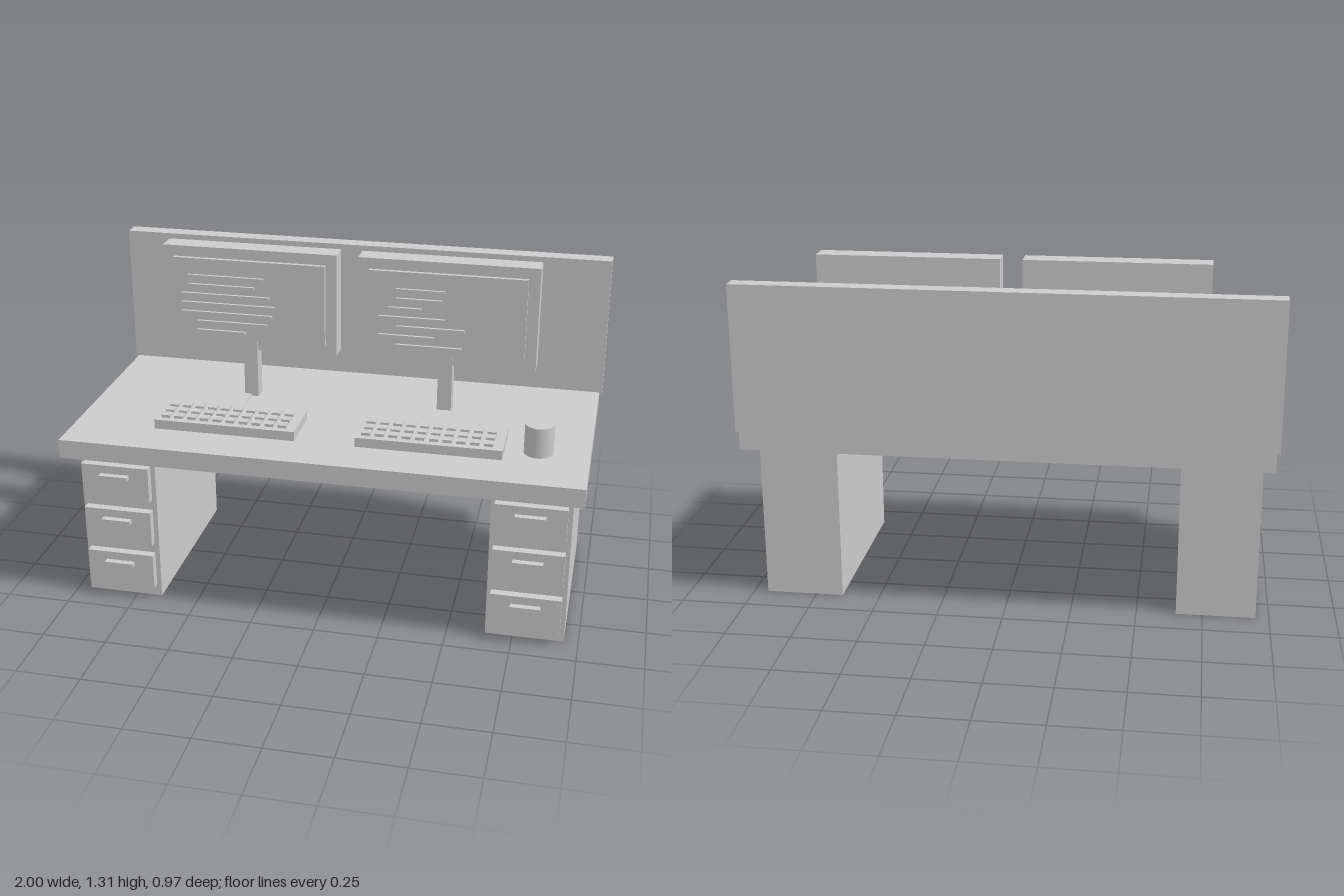
import * as THREE from 'three';

const material = new THREE.MeshStandardMaterial({ color: 0xcccccc });

// Box given by its min and max on each axis
function box(parent, name, [x0, x1], [y0, y1], [z0, z1]) {
  const mesh = new THREE.Mesh(new THREE.BoxGeometry(x1 - x0, y1 - y0, z1 - z0), material);
  mesh.position.set((x0 + x1) / 2, (y0 + y1) / 2, (z0 + z1) / 2);
  mesh.name = name;
  parent.add(mesh);
  return mesh;
}

function group(parent, name) {
  const g = new THREE.Group();
  g.name = name;
  parent.add(g);
  return g;
}

// Drawer pedestal centred on x = cx
function addPedestal(parent, name, cx) {
  const g = group(parent, name);
  box(g, 'cabinet', [cx - 0.15, cx + 0.15], [0, 0.626], [-0.375, 0.378]);
  for (let i = 0; i < 3; i++) {
    const y = 0.052 + i * 0.189;
    box(g, 'drawerFront', [cx - 0.134, cx + 0.134], [y, y + 0.145], [0.383, 0.416]);
    box(g, 'drawerHandle', [cx - 0.057, cx + 0.057], [y + 0.097, y + 0.112], [0.416, 0.441]);
  }
}

// Monitor with raised screen, text bars and post; bars are [start, length] from the screen's left edge
function addMonitor(parent, name, cx, bars) {
  const g = group(parent, name);
  box(g, 'monitorCase', [cx - 0.35, cx + 0.35], [0.897, 1.311], [-0.181, -0.097]);
  box(g, 'screen', [cx - 0.306, cx + 0.306], [0.94, 1.268], [-0.097, -0.08]);
  box(g, 'monitorPost', [cx - 0.028, cx + 0.028], [0.7, 0.945], [-0.146, -0.086]);
  bars.forEach(([start, length], i) => {
    const x = cx - 0.306 + start;
    const y = 1.198 - i * 0.0378;
    box(g, 'screenBar', [x, x + length], [y - 0.005, y + 0.005], [-0.08, -0.069]);
  });
}

// Keyboard with a 10 by 3 grid of keys
function addKeyboard(parent, name, cx) {
  const g = group(parent, name);
  box(g, 'keyboardBase', [cx - 0.276, cx + 0.276], [0.704, 0.741], [0.106, 0.314]);
  for (let row = 0; row < 3; row++) {
    for (let col = 0; col < 10; col++) {
      const x = cx - 0.239 + col * 0.0512;
      const z = 0.163 + row * 0.0535;
      box(g, 'key', [x - 0.017, x + 0.017], [0.741, 0.752], [z - 0.017, z + 0.017]);
    }
  }
}

// Thin flat sheet between post and keyboard, from [x, z] corners
function addSheet(parent, name, corners) {
  const shape = new THREE.Shape(corners.map(([x, z]) => new THREE.Vector2(x, -z)));
  const geometry = new THREE.ExtrudeGeometry(shape, { depth: 0.005, bevelEnabled: false });
  geometry.rotateX(-Math.PI / 2);
  const mesh = new THREE.Mesh(geometry, material);
  mesh.position.y = 0.709;
  mesh.name = name;
  parent.add(mesh);
}

export function createModel() {
  const model = new THREE.Group();
  model.name = 'officeDesk';

  // Desk body
  box(model, 'deskTop', [-0.988, 0.988], [0.626, 0.7], [-0.48, 0.484]);
  box(model, 'backPanel', [-1, 1], [0.697, 1.258], [-0.484, -0.418]);
  addPedestal(model, 'rightPedestal', -0.8);
  addPedestal(model, 'leftPedestal', 0.796);

  // Monitors
  addMonitor(model, 'rightMonitor', -0.388,
    [[0.06, 0.31], [0.06, 0.27], [0.03, 0.36], [0.03, 0.38], [0.03, 0.37], [0.09, 0.29], [0.09, 0.2]]);
  addMonitor(model, 'leftMonitor', 0.397,
    [[0.11, 0.19], [0.11, 0.18], [0.08, 0.13], [0.04, 0.26], [0.11, 0.27], [0.04, 0.22], [0.11, 0.26]]);

  // Desk items
  addKeyboard(model, 'rightKeyboard', -0.388);
  addKeyboard(model, 'leftKeyboard', 0.396);
  addSheet(model, 'rightSheet', [[-0.545, 0.11], [-0.375, 0.11], [-0.385, -0.075], [-0.52, -0.065], [-0.548, -0.02]]);
  addSheet(model, 'leftSheet', [[0.28, 0.11], [0.515, 0.11], [0.472, -0.075], [0.4, -0.075], [0.285, -0.065]]);

  const cup = new THREE.Mesh(new THREE.CylinderGeometry(0.055, 0.055, 0.117, 32), material);
  cup.position.set(0.798, 0.767, 0.227);
  cup.name = 'cup';
  model.add(cup);

  return model;
}
